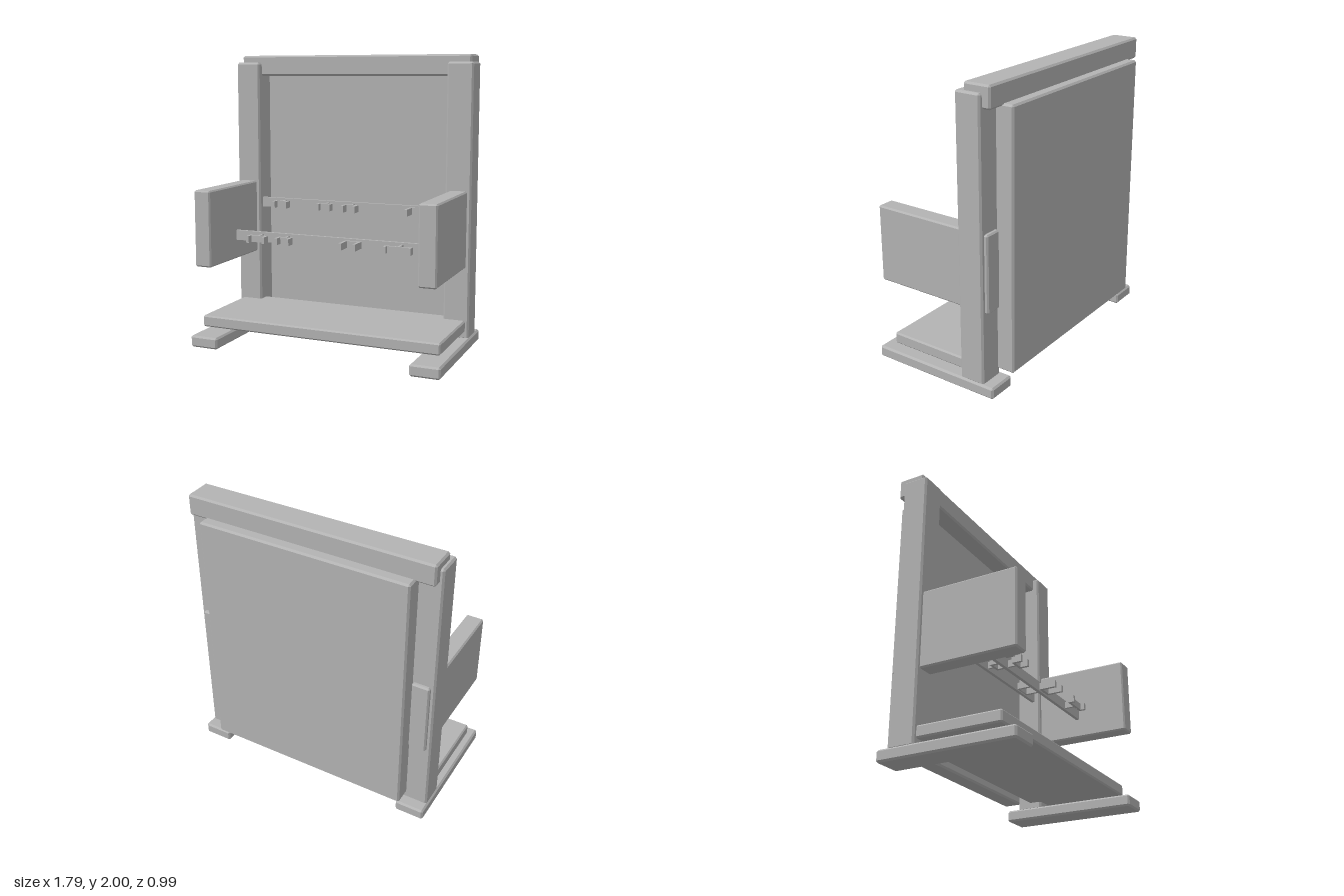
import * as THREE from 'three';
import { ConvexGeometry } from 'three/addons/geometries/ConvexGeometry.js';

const grey = new THREE.MeshStandardMaterial({ color: 0xb3b3b3 });
grey.name = 'plain grey';

// Box given by its [min, max] range on each axis, with chamfered edges when c > 0
function block(parent, name, xr, yr, zr, c = 0.012) {
  const ranges = [xr, yr, zr];
  const size = ranges.map(([a, b]) => b - a);
  const mid = ranges.map(([a, b]) => (a + b) / 2);
  let geometry;
  if (c > 0) {
    const points = [];
    for (const sx of [-1, 1]) for (const sy of [-1, 1]) for (const sz of [-1, 1]) {
      for (let axis = 0; axis < 3; axis++) {
        const p = [sx, sy, sz].map((s, i) => s * (size[i] / 2 - (i === axis ? 0 : c)));
        points.push(new THREE.Vector3(...p));
      }
    }
    geometry = new ConvexGeometry(points);
  } else {
    geometry = new THREE.BoxGeometry(...size);
  }
  const mesh = new THREE.Mesh(geometry, grey);
  mesh.name = name;
  mesh.position.set(...mid);
  parent.add(mesh);
}

// Hook: a stem out of the rail, a cross plate and two forward prongs
function hook(parent, name, x, halfWidth, railZ, plateZ, tipZ, yr) {
  const group = new THREE.Group();
  group.name = name;
  const plateFront = plateZ + 0.018;
  block(group, 'hookStem', [x - 0.008, x + 0.008], yr, [railZ - 0.005, plateZ + 0.005], 0);
  block(group, 'hookPlate', [x - halfWidth, x + halfWidth], yr, [plateZ, plateFront], 0);
  for (const s of [-1, 1]) {
    const px = x + s * (halfWidth - 0.01);
    block(group, 'hookProng', [px - 0.01, px + 0.01], yr, [plateFront, tipZ], 0);
  }
  parent.add(group);
}

export function createModel() {
  const model = new THREE.Group();
  model.name = 'hookRackStand';

  // Mirrored side parts: foot, post and side panel
  for (const s of [-1, 1]) {
    const side = (a, b) => (s > 0 ? [a, b] : [-b, -a]);
    const label = s > 0 ? 'left' : 'right';
    block(model, label + 'Foot', side(0.69, 0.895), [0, 0.08], [-0.45, 0.495]);
    block(model, label + 'Post', side(0.705, 0.885), [0.07, 1.95], [-0.37, -0.19]);
    block(model, label + 'SidePanel', side(0.735, 0.857), [0.565, 1.09], [-0.395, 0.475], 0.01);
  }

  // Frame: top beam, back panel and bottom shelf
  block(model, 'topBeam', [-0.86, 0.86], [1.855, 2], [-0.425, -0.235]);
  block(model, 'backPanel', [-0.735, 0.735], [0.125, 1.87], [-0.495, -0.365]);
  block(model, 'bottomShelf', [-0.86, 0.86], [0.12, 0.2], [-0.28, 0.385], 0.01);

  // Two thin rails between the sides
  block(model, 'frontRail', [-0.738, 0.738], [0.7, 0.77], [0.097, 0.12], 0);
  block(model, 'rearRail', [-0.738, 0.738], [0.895, 0.965], [-0.255, -0.232], 0);

  // Hooks: x, half width, plate back z, prong tip z
  const frontHooks = [
    [-0.52, 0.07, 0.18, 0.24], [-0.318, 0.053, 0.172, 0.24],
    [0.165, 0.06, 0.123, 0.24], [0.51, 0.096, 0.186, 0.232],
  ];
  const rearHooks = [
    [-0.52, 0.056, -0.193, -0.13], [-0.175, 0.053, -0.188, -0.135],
    [0.022, 0.053, -0.193, -0.118], [0.51, 0.07, -0.24, -0.115],
  ];
  for (const [x, w, pz, tz] of frontHooks) hook(model, 'frontHook', x, w, 0.12, pz, tz, [0.71, 0.757]);
  for (const [x, w, pz, tz] of rearHooks) hook(model, 'rearHook', x, w, -0.24, pz, tz, [0.905, 0.953]);

  return model;
}
